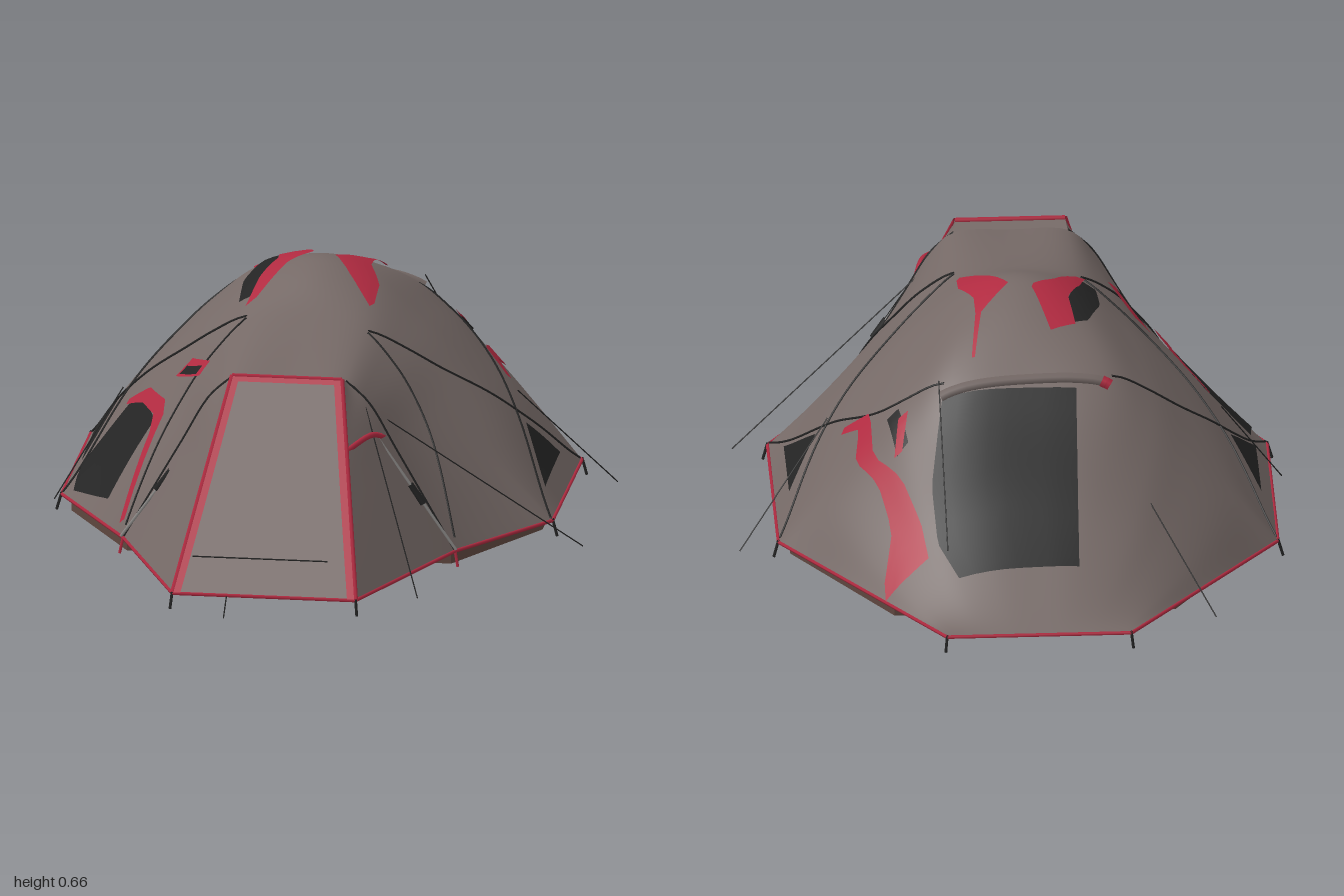
import * as THREE from 'three';

const V = (x, y, z) => new THREE.Vector3(x, y, z);
const CX = -0.036; // centre line of the tent
const mat = (name, color) => new THREE.MeshStandardMaterial({ name, color, side: THREE.DoubleSide });

// Half cross-sections (x from the centre line, y) from hem to ridge, back to front
const STATIONS = [
  [-0.99, [[0.243, 0.05], [0.22, 0.05], [0.18, 0.05], [0.13, 0.05], [0.07, 0.05], [0, 0.05]]],
  [-0.72, [[0.449, 0.05], [0.4, 0.105], [0.33, 0.165], [0.255, 0.215], [0.14, 0.25], [0, 0.257]]],
  [-0.45, [[0.655, 0.05], [0.53, 0.2], [0.42, 0.325], [0.32, 0.43], [0.2, 0.515], [0, 0.535]]],
  [-0.15, [[0.655, 0.05], [0.52, 0.25], [0.4, 0.39], [0.28, 0.51], [0.14, 0.62], [0, 0.66]]],
  [0.11, [[0.655, 0.05], [0.49, 0.22], [0.36, 0.36], [0.25, 0.48], [0.15, 0.555], [0, 0.575]]],
  [0.45, [[0.44, 0.05], [0.36, 0.19], [0.28, 0.33], [0.21, 0.45], [0.15, 0.505], [0, 0.51]]],
];

// Smooth grid from a function of two parameters
function surface(fn, nu, nv) {
  const pos = [], idx = [];
  for (let i = 0; i <= nu; i++) for (let j = 0; j <= nv; j++) pos.push(...fn(i / nu, j / nv).toArray());
  for (let i = 0; i < nu; i++) for (let j = 0; j < nv; j++) {
    const a = i * (nv + 1) + j, b = a + nv + 1;
    idx.push(a, a + 1, b, b, a + 1, b + 1);
  }
  const g = new THREE.BufferGeometry();
  g.setAttribute('position', new THREE.Float32BufferAttribute(pos, 3));
  g.setIndex(idx);
  g.computeVertexNormals();
  return g;
}

// The two side hems sit slightly staggered front to back
function stagger(p) {
  const w = p.z < -0.45 ? (p.z + 0.99) / 0.54 : p.z > 0.11 ? (0.45 - p.z) / 0.34 : 1;
  p.z += 0.046 * (p.x - CX) * Math.max(0, w);
  return p;
}

function shellGeometry() {
  const rows = [];
  for (let r = -5; r <= 5; r++) {
    const k = 5 - Math.abs(r);
    const pts = STATIONS.map(([z, prof]) => V(CX + Math.sign(r) * prof[k][0], prof[k][1], z));
    const curve = new THREE.CatmullRomCurve3(pts);
    rows.push(k > 0 ? (t) => curve.getPoint(t) : (t) => {
      const i = Math.min(4, Math.floor(t * 5));
      return pts[i].clone().lerp(pts[i + 1], t * 5 - i);
    });
  }
  const NU = 60, cols = [];
  for (let i = 0; i <= NU; i++) cols.push(new THREE.CatmullRomCurve3(rows.map((f) => f(i / NU))));
  return surface((u, v) => stagger(cols[Math.round(u * NU)].getPoint(v)), NU, 60);
}

export function createModel() {
  const group = new THREE.Group();
  const fabric = mat('taupe fabric', 0x756966), red = mat('red trim', 0xb02a40);
  const black = mat('black mesh', 0x242424), brown = mat('brown groundsheet', 0x5e463e);
  const cord = mat('grey cord', 0x8c8a88);

  const add = (name, geo, m) => {
    const mesh = new THREE.Mesh(geo, m);
    mesh.name = name;
    group.add(mesh);
    return mesh;
  };
  const tube = (name, pts, r, m, n = 1) =>
    add(name, new THREE.TubeGeometry(n > 1 ? new THREE.CatmullRomCurve3(pts) : new THREE.LineCurve3(pts[0], pts[1]), n, r, 5), m);

  // Main canopy
  const shell = add('canopy', shellGeometry(), fabric);
  const ray = new THREE.Raycaster();

  // Drop a plan point onto the canopy, lifted along the surface normal
  const drop = (x, z, lift) => {
    for (let k = 0; k < 40; k++) {
      ray.set(V(x, 2, z), V(0, -1, 0));
      const hit = ray.intersectObject(shell)[0];
      if (hit) {
        const n = hit.face.normal.clone();
        if (n.y < 0) n.negate();
        return hit.point.addScaledVector(n, lift);
      }
      x = CX + (x - CX) * 0.985;
    }
    return V(x, 0.05, z);
  };
  const polyAt = (pts, t) => {
    const f = t * (pts.length - 1), i = Math.min(pts.length - 2, Math.floor(f));
    return [0, 1].map((k) => pts[i][k] + (pts[i + 1][k] - pts[i][k]) * (f - i));
  };
  // Fabric panel draped between two plan polylines
  const patch = (name, A, B, m, lift = 0.006) => add(name, surface((u, v) => {
    const a = polyAt(A, u), b = polyAt(B, u);
    return drop(a[0] + (b[0] - a[0]) * v, a[1] + (b[1] - a[1]) * v, lift);
  }, 16, 8), m);
  const draped = (name, pts, r, m, lift = 0.002) => {
    const c = new THREE.CatmullRomCurve3(pts.map(([x, z]) => V(x, 0, z)));
    tube(name, c.getPoints(20).map((p) => drop(p.x, p.z, lift)), r, m, 30);
  };

  // Rear window with rolled-up flap
  patch('rearWindow', [[-0.15, -0.83], [-0.16, -0.48]], [[0.165, -0.835], [0.215, -0.74], [0.225, -0.62], [0.19, -0.47]], black);
  draped('rolledFlap', [[-0.23, -0.46], [0, -0.46], [0.19, -0.465]], 0.014, fabric, 0.012);
  draped('flapTie', [[-0.245, -0.465], [-0.225, -0.46]], 0.016, red, 0.012);

  // Rear side trim and pocket
  patch('rearTrim', [[0.24, -0.76], [0.255, -0.68], [0.3, -0.57], [0.37, -0.47], [0.37, -0.33], [0.435, -0.285]],
    [[0.365, -0.79], [0.33, -0.65], [0.36, -0.54], [0.415, -0.44], [0.4, -0.35], [0.445, -0.3]], red);
  patch('rearPocket', [[0.28, -0.51], [0.3, -0.41]], [[0.31, -0.52], [0.33, -0.41]], black);
  patch('rearPocketTrim', [[0.295, -0.52], [0.275, -0.44]], [[0.315, -0.52], [0.3, -0.44]], red, 0.009);

  // Side entrance window with red edging, and the pocket above it
  patch('sideWindow', [[-0.64, 0.0], [-0.65, 0.12], [-0.535, 0.285]], [[-0.52, -0.04], [-0.465, 0.05], [-0.425, 0.19]], black);
  patch('sideWindowTrim', [[-0.525, -0.06], [-0.46, 0], [-0.4, 0.15], [-0.395, 0.22], [-0.47, 0.42]],
    [[-0.53, -0.045], [-0.475, 0.04], [-0.43, 0.16], [-0.43, 0.23], [-0.485, 0.41]], red, 0.009);
  patch('sidePocket', [[-0.385, 0.07], [-0.3, 0.235]], [[-0.34, 0.07], [-0.275, 0.21]], red);
  patch('sidePocketOpening', [[-0.37, 0.09], [-0.31, 0.21]], [[-0.35, 0.09], [-0.295, 0.2]], black, 0.009);

  // Roof vents
  patch('roofVentMesh', [[-0.23, -0.02], [-0.235, -0.15], [-0.2, -0.27], [-0.15, -0.3]],
    [[-0.19, -0.01], [-0.175, -0.1], [-0.15, -0.2], [-0.14, -0.3]], black, 0.008);
  patch('roofVentTrim', [[-0.205, 0.03], [-0.185, -0.09], [-0.15, -0.19], [-0.165, -0.3]],
    [[-0.18, 0.01], [-0.115, -0.12], [-0.055, -0.17], [-0.1, -0.33]], red, 0.01);
  patch('roofVentTrim', [[0.1, -0.39], [0.075, -0.25], [0, -0.155], [0.05, -0.07], [0.115, 0.03]],
    [[0.108, -0.39], [0.09, -0.25], [0.09, -0.18], [0.125, -0.08], [0.125, 0.01]], red, 0.01);

  // Triangular side vents and crossing poles
  for (const s of [1, -1]) {
    const X = (x) => CX + s * x, dz = s * 0.03 + 0.01;
    const apex = [X(0.54), -0.19 + dz];
    patch('triangleVent', [[X(0.615), -0.02 + dz], apex], [[X(0.615), -0.3 + dz], apex], black);
    draped('poleSleeve', [[X(0.65), -0.45 + dz], [X(0.515), -0.2 + dz], [X(0.36), -0.04 + dz], [X(0.165), 0.09 + dz]], 0.003, black);
    draped('poleSleeve', [[X(0.65), 0.1 + dz], [X(0.515), -0.2 + dz], [X(0.38), -0.36], [X(0.22), -0.43]], 0.003, black);
    draped('poleSleeve', [[X(0.165), 0.1 + dz], [X(0.32), 0.24], [X(0.435), 0.43]], 0.003, black);
  }

  // Porch: sloping door, side panels and lip
  const doorTop = (s) => V(CX + s * 0.145, 0.52, 0.49), doorLow = (s) => V(CX + s * 0.243, 0.05, 0.93);
  const door = (u, v, lift = 0) => {
    const a = doorLow(-1).lerp(doorTop(-1), u), b = doorLow(1).lerp(doorTop(1), u);
    return a.lerp(b, v).add(V(0, lift * 0.68, lift * 0.73));
  };
  add('porchDoor', surface((u, v) => door(u, v), 8, 8), fabric);
  const hoop = (s) => new THREE.CatmullRomCurve3(STATIONS[5][1].slice(0, 5).map(([x, y]) => V(CX + s * x, y, 0.45)));
  for (const s of [1, -1]) {
    const c = hoop(s), e = s > 0 ? 1 : 0;
    add('porchSide', surface((u, v) => c.getPoint(u).lerp(doorLow(s).lerp(doorTop(s), u), v), 16, 8), fabric);
    add('doorTrim', surface((u, v) => door(u, e - s * v * (0.045 + 0.025 * u), 0.005), 8, 1), red);
    tube('doorPiping', [doorLow(s), doorTop(s)], 0.007, red);
    tube('porchHoop', c.getPoints(12), 0.004, black, 24);
  }
  add('doorTopTrim', surface((u, v) => door(0.97 + 0.03 * u, v, 0.005), 1, 4), red);
  tube('doorTopPiping', [doorTop(-1), doorTop(1)], 0.007, red);
  tube('doorSeam', [door(0.17, 0.06, 0.002), door(0.17, 0.85, 0.002)], 0.002, black);
  const lipBack = [-1, 1].map((s) => V(CX + s * 0.15, 0.505, 0.45));
  add('porchLip', surface((u, v) => lipBack[0].clone().lerp(lipBack[1], v).lerp(doorTop(-1).lerp(doorTop(1), v), u), 2, 4), fabric);
  tube('porchVentHood', [V(0.14, 0.365, 0.62), V(0.19, 0.385, 0.54), V(0.215, 0.36, 0.46)], 0.008, red, 10);

  // Hem piping with a peg at each corner
  const hem = [[0.205, -0.99], [0.62, -0.42], [0.62, 0.14], [0.404, 0.45], [0.207, 0.93],
    [-0.279, 0.93], [-0.476, 0.45], [-0.691, 0.08], [-0.691, -0.48], [-0.279, -0.99]];
  hem.forEach(([x, z], i) => {
    const [x2, z2] = hem[(i + 1) % hem.length];
    tube('hemPiping', [V(x, 0.05, z), V(x2, 0.05, z2)], 0.005, red);
    tube('peg', [V(x, 0.055, z), V(x * 1.02, 0.008, z * 1.005)], 0.004, i === 3 || i === 6 ? red : black);
  });

  // Groundsheet tray
  const plan = new THREE.Shape([[-0.37, -0.79], [0.37, -0.79], [0.625, -0.42], [0.625, 0.11], [0.43, 0.45],
    [-0.43, 0.45], [-0.625, 0.11], [-0.625, -0.42]].map(([x, z]) => new THREE.Vector2(x + CX, -z)));
  const floor = add('groundsheet', new THREE.ExtrudeGeometry(plan, { depth: 0.035, bevelEnabled: false }), brown);
  floor.rotation.x = -Math.PI / 2;
  floor.position.y = 0.015;

  // Inner walls closing the sleeping area at front and rear
  const wall = (name, w, w2, h, z) => add(name, surface((u, v) =>
    V(CX + (2 * v - 1) * (w + (w2 - w) * u), 0.04 + h * u, z), 2, 2), black);
  wall('innerFrontWall', 0.425, 0.15, 0.43, 0.44);
  wall('innerRearWall', 0.35, 0.2, 0.1, -0.79);

  // Guy lines, with toggles on the porch pair
  const guys = [
    [[0.17, 0.44, 0.47], [0.345, 0.005, 0.74]], [[0.17, 0.43, 0.43], [0.71, 0.005, 0.21]],
    [[0.48, 0.3, -0.2], [0.72, 0.005, 0.38 - 0.76]], [[-0.56, 0.28, -0.15], [-0.725, 0.005, -0.02]],
    [[-0.16, 0.53, -0.42], [-0.51, 0.02, -0.85]], [[0.2, 0.53, -0.45], [0.2, 0.27, -0.92]],
    [[-0.135, 0.05, 0.93], [-0.135, 0.005, 0.99]],
  ];
  guys.forEach(([a, b]) => tube('guyLine', [V(...a), V(...b)], 0.0018, black));
  for (const [a, b] of [[V(-0.2, 0.45, 0.48), V(-0.48, 0.06, 0.47)], [V(0.16, 0.43, 0.49), V(0.41, 0.06, 0.47)]]) {
    tube('porchStrap', [a, b], 0.004, cord);
    tube('toggle', [a.clone().lerp(b, 0.52), a.clone().lerp(b, 0.66)], 0.01, black);
  }
  return group;
}
